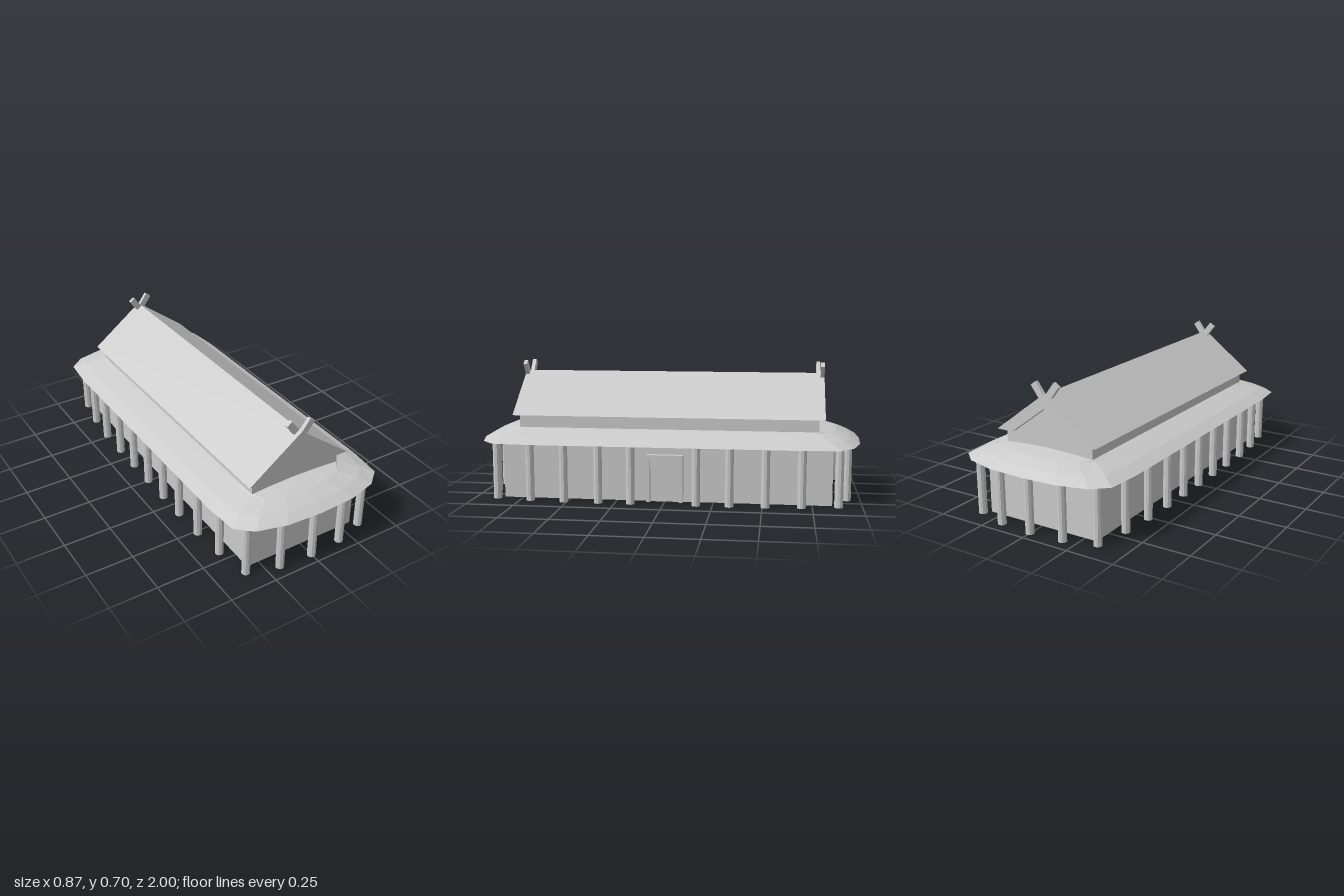
import * as THREE from 'three';

const material = new THREE.MeshStandardMaterial({ color: 0xcccccc, flatShading: true, side: THREE.DoubleSide });

function add(parent, name, geometry, x = 0, y = 0, z = 0) {
  const mesh = new THREE.Mesh(geometry, material);
  mesh.name = name;
  mesh.position.set(x, y, z);
  parent.add(mesh);
  return mesh;
}

// Extrude an outline of [x, y] points, centred on z = 0
function prism(points, depth) {
  const shape = new THREE.Shape(points.map(([x, y]) => new THREE.Vector2(x, y)));
  return new THREE.ExtrudeGeometry(shape, { depth, bevelEnabled: false }).translate(0, 0, -depth / 2);
}

// Domed eaves: a closed band from the rounded rim up to the upper hall,
// down its inner edge and back along a flat underside
function eavesGeometry() {
  const quarter = [[0, 1], [0.19, 0.99], [0.34, 0.95], [0.42, 0.88], [0.437, 0.7]];
  const mirrorX = quarter.slice(1).map(([x, z]) => [-x, z]).reverse();
  const front = [...mirrorX, ...quarter];
  const outline = [...front, ...front.map(([x, z]) => [-x, -z])];
  const clamp = THREE.MathUtils.clamp;
  const inner = outline.map(([x, z]) => [clamp(x * 0.75, -0.25, 0.25), clamp(z * 1.06, -0.78, 0.78)]);
  const rings = [
    outline.map(([x, z]) => [x, 0.3, z]),
    outline.map(([x, z]) => [x * 0.85, 0.33, z * 0.95]),
    outline.map(([x, z]) => [x * 0.62, 0.359, z * 0.88]),
    inner.map(([x, z]) => [x, 0.364 + 0.011 * (1 - (x / 0.25) ** 2), z]),
    inner.map(([x, z]) => [x, 0.3, z]),
  ];
  const n = outline.length, index = [];
  for (let r = 0; r < rings.length; r++) {
    const low = r * n, high = ((r + 1) % rings.length) * n;
    for (let i = 0; i < n; i++) {
      const j = (i + 1) % n;
      index.push(low + i, low + j, high + j, low + i, high + j, high + i);
    }
  }
  const geometry = new THREE.BufferGeometry();
  geometry.setAttribute('position', new THREE.Float32BufferAttribute(rings.flat(2), 3));
  geometry.setIndex(index);
  geometry.computeVertexNormals();
  return geometry;
}

export function createModel() {
  const model = new THREE.Group();
  model.name = 'longhouse';

  // Thin hall walls, open below
  for (const s of [-1, 1]) {
    add(model, 'sideWall', new THREE.PlaneGeometry(1.7, 0.3), s * 0.315, 0.15, 0).rotation.y = s * Math.PI / 2;
    add(model, 'endWall', new THREE.PlaneGeometry(0.63, 0.3), 0, 0.15, s * 0.85).rotation.y = s > 0 ? 0 : Math.PI;
  }

  // Doorway on the left long side
  const door = new THREE.Group();
  door.name = 'door';
  model.add(door);
  for (const s of [-1, 1]) {
    add(door, 'doorPost', new THREE.BoxGeometry(0.05, 0.222, 0.02), 0.318, 0.111, s * 0.085);
  }
  add(door, 'doorLintel', new THREE.BoxGeometry(0.05, 0.023, 0.19), 0.318, 0.2335, 0);
  add(door, 'doorPanel', new THREE.BoxGeometry(0.097, 0.222, 0.15), 0.2735, 0.111, 0);

  // Colonnade, drawn in slightly towards the corners
  const column = new THREE.CylinderGeometry(0.022, 0.022, 0.304, 10);
  const places = [[0, 0.943]];
  for (const s of [-1, 1]) {
    places.push([s * 0.18, 0.93], [s * 0.343, 0.88]);
    places.push([s * 0.375, 0.695], [s * 0.39, 0.515], [s * 0.393, 0.335], [s * 0.393, 0.167]);
  }
  for (const s of [-1, 1]) {
    for (const [x, z] of places) add(model, 'column', column, x, 0.152, s * z);
  }
  add(model, 'column', column, -0.393, 0.152, 0);

  add(model, 'eaves', eavesGeometry());

  // Upper hall with pointed gable ends
  add(model, 'upperHall', prism([
    [-0.25, 0.364], [0.25, 0.364], [0.25, 0.435], [0, 0.6], [-0.25, 0.435],
  ], 1.56));

  // Thick pitched roof
  add(model, 'roof', prism([
    [-0.285, 0.43], [-0.195, 0.43], [0, 0.575], [0.195, 0.43], [0.285, 0.43], [0, 0.645],
  ], 1.62));

  // Crossed finials at both ends of the ridge
  const beam = new THREE.BoxGeometry(0.034, 0.1, 0.02);
  for (const end of [-1, 1]) {
    for (const s of [-1, 1]) {
      const finial = add(model, 'finial', beam, s * 0.028, 0.652, end * (0.789 + s * 0.0105));
      finial.rotation.z = -s * 0.64;
    }
  }
  return model;
}
